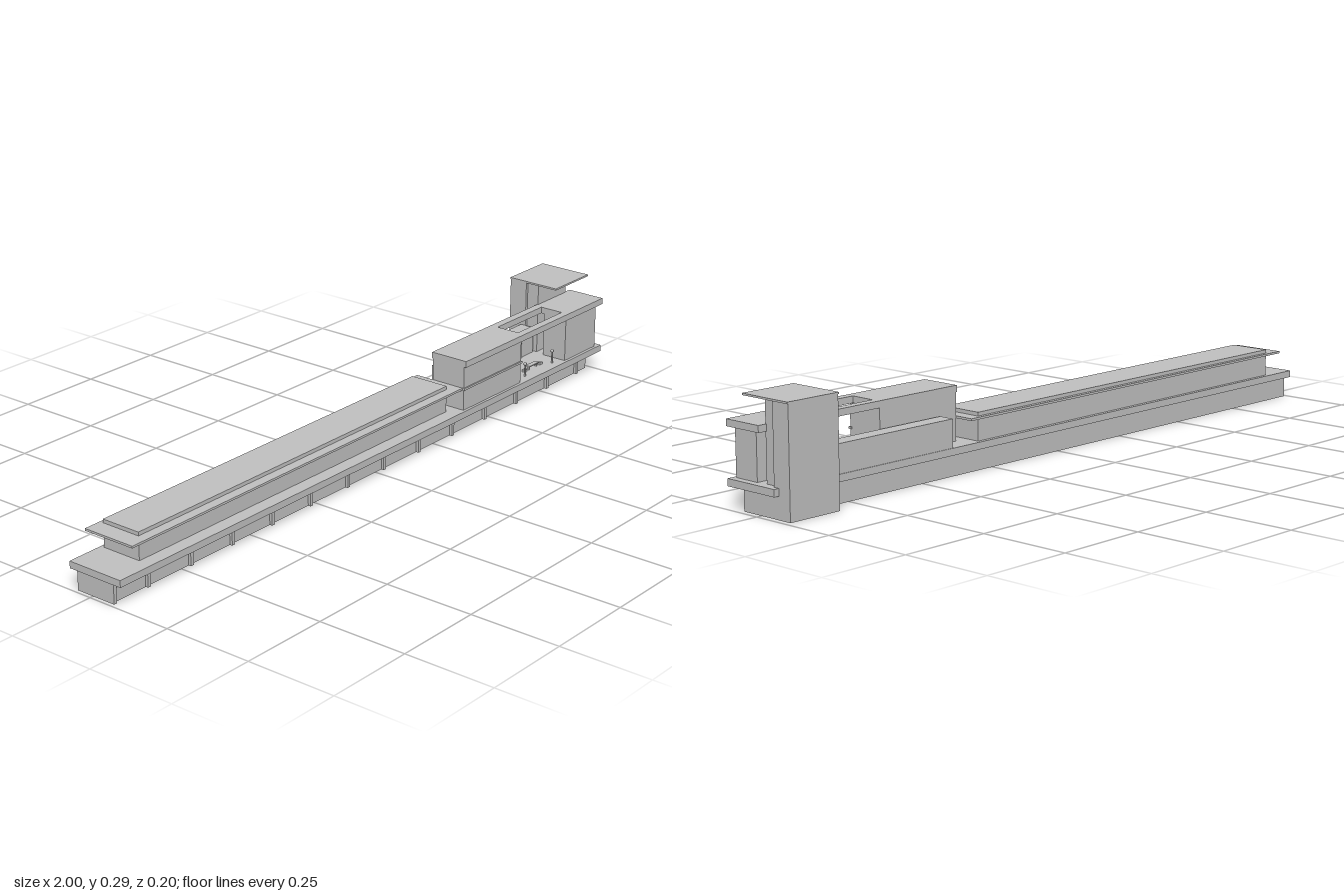
import * as THREE from 'three';

export function createModel() {
  const model = new THREE.Group();
  model.name = 'longLowBuilding';
  const concrete = new THREE.MeshStandardMaterial({ color: 0xc0c0c0, side: THREE.DoubleSide });
  concrete.name = 'light concrete grey';

  const add = (name, geometry, x = 0, y = 0, z = 0) => {
    const mesh = new THREE.Mesh(geometry, concrete);
    mesh.name = name;
    mesh.position.set(x, y, z);
    model.add(mesh);
    return mesh;
  };
  // Box given by its minimum and maximum on each axis
  const box = (name, x0, x1, y0, y1, z0, z1) =>
    add(name, new THREE.BoxGeometry(x1 - x0, y1 - y0, z1 - z0),
      (x0 + x1) / 2, (y0 + y1) / 2, (z0 + z1) / 2);
  const rectangle = (Type, x0, x1, y0, y1) => {
    const s = new Type();
    s.moveTo(x0, y0);
    s.lineTo(x1, y0);
    s.lineTo(x1, y1);
    s.lineTo(x0, y1);
    s.closePath();
    return s;
  };
  const extrude = (shape, depth) =>
    new THREE.ExtrudeGeometry(shape, { depth, bevelEnabled: false, curveSegments: 6 });

  // Hollow plinth, open underneath, with groups of oval vents in the front
  const front = rectangle(THREE.Shape, -0.99, 0.985, 0, 0.059);
  for (let i = 0; i < 13; i++) {
    for (let j = -1; j <= 1; j++) {
      const vent = new THREE.Path();
      vent.absellipse(-0.945 + i * 0.15 + j * 0.022, 0.041, 0.009, 0.006, 0, Math.PI * 2);
      front.holes.push(vent);
    }
  }
  add('plinthFront', extrude(front, 0.004), 0, 0, 0.058);
  box('plinthBack', -0.99, 0.985, 0, 0.059, -0.05, -0.046);
  box('plinthRightEnd', -0.99, -0.986, 0, 0.059, -0.05, 0.062);
  box('plinthLeftEnd', 0.981, 0.985, 0, 0.059, -0.05, 0.062);
  for (let i = 0; i < 14; i++) {
    const x = Math.min(-0.985 + i * 0.15 - (i ? 0.035 : 0), 0.98);
    box('plinthRib', x - 0.005, x + 0.005, 0, 0.059, 0.062, 0.07);
  }

  // Main floor slab
  box('floorSlab', -1, 1, 0.058, 0.077, -0.064, 0.103);

  // Long wing with thin overhanging canopy
  box('longWing', -0.895, 0.305, 0.077, 0.152, -0.053, 0.064);
  box('canopy', -0.945, 0.34, 0.136, 0.142, -0.064, 0.092);

  // Middle block with a thin band across its front
  box('middleBlock', 0.342, 0.608, 0.077, 0.204, -0.011, 0.095);
  box('middleBlockBand', 0.34, 0.61, 0.136, 0.142, 0.09, 0.099);

  // Low rear volume
  box('rearVolume', 0.405, 0.828, 0.077, 0.152, -0.062, -0.018);

  // Upper roof, open above the courtyard
  const roof = rectangle(THREE.Shape, 0.34, 1, -0.103, 0.013);
  roof.holes.push(rectangle(THREE.Path, 0.612, 0.825, -0.08, -0.01));
  add('upperRoof', extrude(roof, 0.018), 0, 0.204, 0).rotation.x = -Math.PI / 2;

  // End pavilion
  box('pavilion', 0.828, 0.98, 0.077, 0.204, 0.018, 0.094);

  // Tower with forward roof
  box('tower', 0.828, 0.985, 0, 0.284, -0.102, -0.047);
  box('towerFront', 0.836, 0.975, 0.077, 0.284, -0.047, -0.01);
  box('towerRoof', 0.825, 0.987, 0.283, 0.288, -0.102, 0.058);

  // Courtyard doorway on the rear volume
  const frame = rectangle(THREE.Shape, 0.676, 0.768, 0.077, 0.122);
  frame.holes.push(rectangle(THREE.Path, 0.682, 0.762, 0.078, 0.117));
  add('doorFrame', extrude(frame, 0.004), 0, 0, -0.018);

  // Courtyard lamps
  for (const x of [0.657, 0.79]) {
    add('lampPost', new THREE.CylinderGeometry(0.002, 0.003, 0.034, 8), x, 0.094, 0.076);
    add('lampHead', new THREE.SphereGeometry(0.005, 8, 6), x, 0.114, 0.076);
  }

  // Low table and seats in the courtyard
  box('courtTable', 0.7, 0.745, 0.087, 0.09, 0.048, 0.062);
  for (const x of [0.704, 0.741]) box('tableLeg', x - 0.002, x + 0.002, 0.077, 0.087, 0.052, 0.058);
  for (const x of [0.685, 0.76]) box('courtSeat', x - 0.006, x + 0.006, 0.077, 0.084, 0.05, 0.06);
  return model;
}
